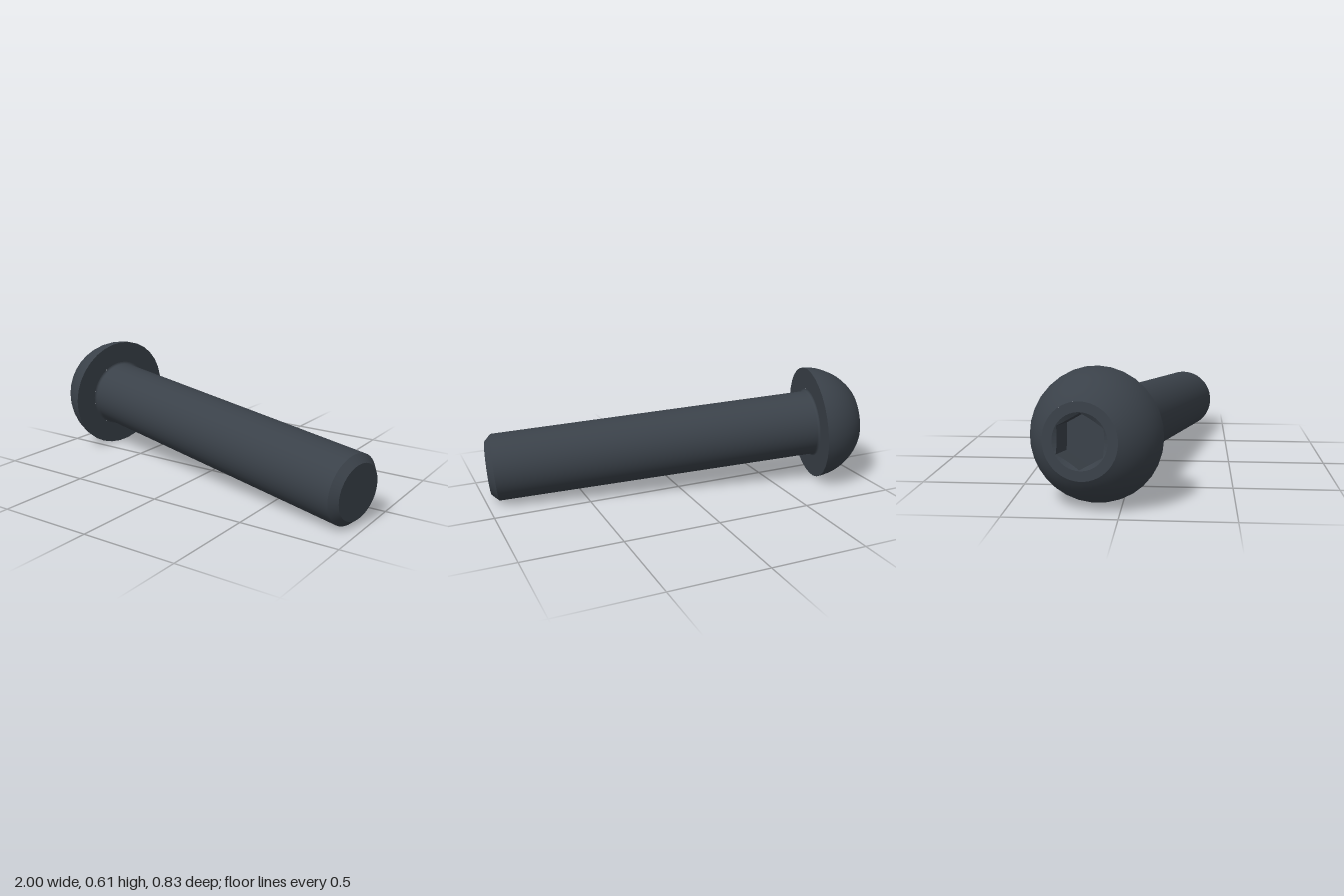
import * as THREE from 'three';

// Button-head bolt. Local y runs along the axis: 0 under the head, + towards the socket.
const LENGTH = 1.75, SHAFT_R = 0.175, TIP_R = 0.14, HEAD_R = 0.305;
const HEAD_H = 0.233, FLAT_R = 0.169, HEX_R = 0.121, SOCKET_DEPTH = 0.13;
const FILLET = 0.012, SINK_R = 0.124;

const lathe = (pts, segments) =>
  new THREE.LatheGeometry(pts.map(([r, y]) => new THREE.Vector2(r, y)), segments);

// Radius of the hexagon at a given angle, with a corner at angle 0
function hexRadius(angle) {
  const step = Math.PI / 3;
  const a = ((angle % step) + step) % step - step / 2;
  return HEX_R * Math.cos(step / 2) / Math.cos(a);
}

// Pulls the vertices lying on the hexagon's circle onto the hexagon; the upper
// ones also drop along the countersink cone. Result is flat shaded.
function hexify(geometry) {
  const p = geometry.attributes.position;
  for (let i = 0; i < p.count; i++) {
    const x = p.getX(i), z = p.getZ(i), r = Math.hypot(x, z);
    if (Math.abs(r - HEX_R) > 1e-4) continue;
    const angle = Math.atan2(z, x), h = hexRadius(angle);
    const y = p.getY(i) > HEAD_H - 0.01 ? HEAD_H - (SINK_R - h) * 0.6 : p.getY(i);
    p.setXYZ(i, Math.cos(angle) * h, y, Math.sin(angle) * h);
  }
  const flat = geometry.toNonIndexed();
  flat.computeVertexNormals();
  return flat;
}

export function createModel() {
  const model = new THREE.Group();
  model.name = 'bolt';
  const steel = new THREE.MeshStandardMaterial({ color: 0x3a4149 });
  steel.name = 'blackened steel';

  const add = (name, geometry) => {
    const mesh = new THREE.Mesh(geometry, steel);
    mesh.name = name;
    model.add(mesh);
  };

  // Shank with chamfered tip and a small fillet under the head
  const shank = [[SHAFT_R, -LENGTH + 0.035]];
  for (let i = 0; i <= 4; i++) {
    const a = (i / 4) * Math.PI / 2;
    shank.push([SHAFT_R + FILLET * (1 - Math.cos(a)), -FILLET * (1 - Math.sin(a))]);
  }
  add('tipFace', lathe([[0, -LENGTH], [TIP_R, -LENGTH]], 48));
  add('tipChamfer', lathe([[TIP_R, -LENGTH], [SHAFT_R, -LENGTH + 0.035]], 48));
  add('shank', lathe(shank, 48));

  // Domed head: an arc of a sphere centred just below the bearing face
  const centre = -0.022, radius = Math.hypot(HEAD_R, centre);
  const a0 = Math.atan2(-centre, HEAD_R), a1 = Math.atan2(HEAD_H - centre, FLAT_R);
  const dome = [];
  for (let i = 0; i <= 12; i++) {
    const a = a0 + (a1 - a0) * i / 12;
    dome.push([radius * Math.cos(a), centre + radius * Math.sin(a)]);
  }
  add('headUnderside', lathe([[SHAFT_R + FILLET, 0], [HEAD_R, 0]], 32));
  add('headDome', lathe(dome, 32));
  add('headFlat', lathe([[FLAT_R, HEAD_H], [SINK_R, HEAD_H]], 48));

  // Hexagonal socket with countersunk mouth
  const floor = HEAD_H - SOCKET_DEPTH;
  add('socketCountersink', hexify(lathe([[SINK_R, HEAD_H], [HEX_R, HEAD_H]], 48)));
  add('socketWalls', hexify(lathe([[HEX_R, HEAD_H], [HEX_R, floor]], 48)));
  add('socketFloor', hexify(lathe([[HEX_R, floor], [0, floor]], 48)));

  // Lay the bolt down: it rests on the head rim and the tip
  const axis = new THREE.Vector3(-0.9747, 0.076, -0.2099).normalize();
  const up = new THREE.Vector3(0, 1, 0).addScaledVector(axis, -axis.y).normalize();
  const side = new THREE.Vector3().crossVectors(up, axis);
  model.quaternion.setFromRotationMatrix(new THREE.Matrix4().makeBasis(up, axis, side));
  model.position.set(-0.738, 0.305, -0.115);

  const root = new THREE.Group();
  root.add(model);
  return root;
}
